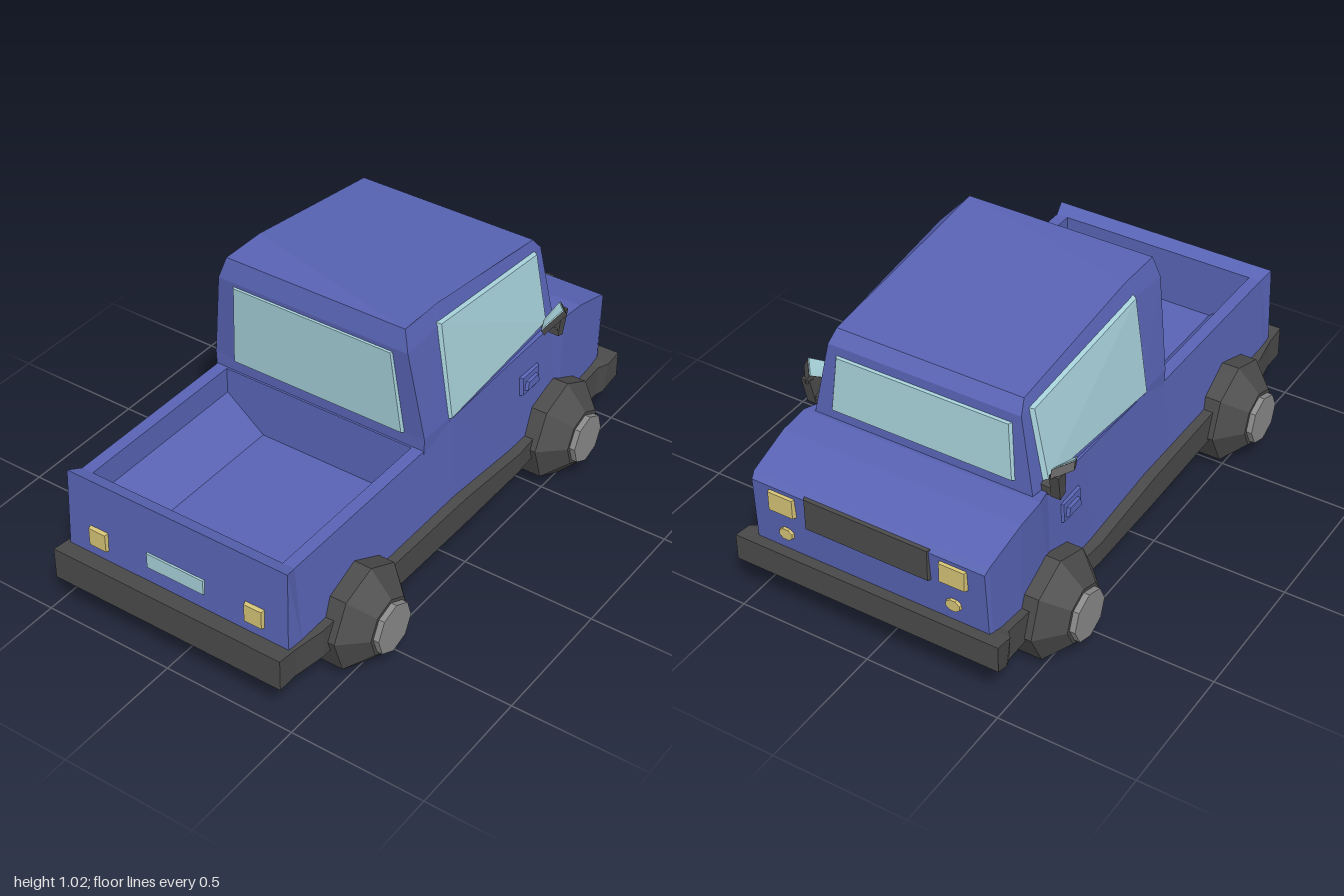
import * as THREE from 'three';
import { ConvexGeometry } from 'three/addons/geometries/ConvexGeometry.js';

const mat = (name, color) => {
  const m = new THREE.MeshStandardMaterial({ color });
  m.name = name;
  return m;
};

// Faceted copy of a geometry
function flat(geo) {
  const g = geo.index ? geo.toNonIndexed() : geo;
  g.computeVertexNormals();
  return g;
}

// Closed solid through rings of points; each ring runs counter-clockwise seen from the far end
function loft(rings) {
  const pos = [];
  const tri = (...pts) => pts.forEach((p) => pos.push(...p));
  const n = rings[0].length;
  for (let r = 0; r < rings.length - 1; r++) {
    const a = rings[r], b = rings[r + 1];
    for (let i = 0; i < n; i++) {
      const j = (i + 1) % n;
      tri(a[i], a[j], b[j]);
      tri(a[i], b[j], b[i]);
    }
  }
  const first = rings[0], last = rings[rings.length - 1];
  for (let i = 1; i < n - 1; i++) {
    tri(first[0], first[i + 1], first[i]);
    tri(last[0], last[i], last[i + 1]);
  }
  const g = new THREE.BufferGeometry();
  g.setAttribute('position', new THREE.Float32BufferAttribute(pos, 3));
  return flat(g);
}

// Four-cornered section: bottom x, top x, bottom y, top y, bottom half width, top half width
const section = ([xb, xt, yb, yt, wb, wt]) =>
  [[xb, yb, wb], [xb, yb, -wb], [xt, yt, -wt], [xt, yt, wt]];

// Plate whose outer face is the corner polygon, shrunk for a bevel; it reaches back by `depth`
function plate(corners, depth, shrink = 0.95) {
  const pts = corners.map((c) => new THREE.Vector3(...c));
  const mid = pts.reduce((s, p) => s.add(p), new THREE.Vector3()).divideScalar(pts.length);
  const back = pts.map((p) => p.clone().add(new THREE.Vector3(...depth)));
  const face = pts.map((p) => p.clone().lerp(mid, 1 - shrink));
  return flat(new ConvexGeometry([...back, ...face]));
}

// Rectangle facing along x, as corners
const rectX = (x, y0, y1, z0, z1) => [[x, y0, z0], [x, y0, z1], [x, y1, z1], [x, y1, z0]];

export function createModel() {
  const truck = new THREE.Group();
  truck.name = 'pickupTruck';
  const blue = mat('bluePaint', 0x5863b4);
  const dark = mat('darkTrim', 0x4a4a4a);
  const glass = mat('paleGlass', 0xa6d0d9);
  const yellow = mat('yellowLamp', 0xd4c275);
  const grey = mat('greyHub', 0x8a8a8a);
  const add = (name, geo, material, parent = truck) => {
    const m = new THREE.Mesh(geo, material);
    m.name = name;
    parent.add(m);
    return m;
  };

  // Chassis with bumpers at both ends
  add('chassis', loft([
    [-1, -1, 0.16, 0.28, 0.46, 0.46], [-0.92, -0.92, 0.16, 0.27, 0.46, 0.46],
    [-0.8, -0.8, 0.16, 0.27, 0.48, 0.48], [0, 0, 0.16, 0.27, 0.49, 0.49],
    [0.35, 0.35, 0.16, 0.24, 0.49, 0.49], [0.5, 0.5, 0.16, 0.24, 0.48, 0.48],
    [0.9, 0.9, 0.16, 0.28, 0.48, 0.48], [0.93, 0.93, 0.16, 0.29, 0.49, 0.505],
    [1, 1, 0.2, 0.3, 0.505, 0.505],
  ].map(section)), dark);

  // Door panels, fenders and hood
  add('frontBody', loft([
    [-0.17, -0.17, 0.26, 0.55, 0.45, 0.425], [0, 0, 0.26, 0.59, 0.45, 0.43],
    [0.35, 0.35, 0.23, 0.6, 0.45, 0.43], [0.6, 0.6, 0.23, 0.61, 0.45, 0.435],
    [0.67, 0.67, 0.24, 0.62, 0.452, 0.452], [0.78, 0.78, 0.25, 0.61, 0.452, 0.452],
    [0.94, 0.95, 0.28, 0.56, 0.45, 0.445], [0.955, 0.97, 0.29, 0.54, 0.445, 0.44],
  ].map(section)), blue);

  // Cargo bed: trough with sloped lower walls
  const half = [[0.45, 0.26], [0.425, 0.55], [0.38, 0.55], [0.38, 0.45], [0.23, 0.33]];
  const outline = [...half, ...half.map(([z, y]) => [-z, y]).reverse()];
  const bed = new THREE.ExtrudeGeometry(
    new THREE.Shape(outline.map(([z, y]) => new THREE.Vector2(-z, y))),
    { depth: 0.72, bevelEnabled: false });
  bed.rotateY(Math.PI / 2).translate(-0.88, 0, 0);
  add('cargoBed', flat(bed), blue);
  add('tailgate', loft([
    [-0.935, -0.925, 0.26, 0.57, 0.445, 0.44], [-0.87, -0.87, 0.26, 0.55, 0.45, 0.425],
  ].map(section)), blue);

  // Cab: rings given as rear, middle and front points on one side
  const cabRing = (side) => [...side, ...side.map(([x, y, z]) => [x, y, -z]).reverse()];
  add('cab', loft([
    [[-0.16, 0.3, 0.42], [0, 0.3, 0.42], [0.655, 0.3, 0.42]],
    [[-0.165, 0.6, 0.428], [0, 0.6, 0.43], [0.655, 0.62, 0.415]],
    [[-0.197, 0.94, 0.378], [0, 0.95, 0.375], [0.635, 0.895, 0.362]],
    [[-0.18, 1.017, 0.355], [0, 1.017, 0.355], [0.6, 0.94, 0.35]],
  ].map(cabRing)), blue);

  // Windscreen and rear window
  add('windscreen', plate([
    [0.662, 0.65, 0.36], [0.662, 0.65, -0.36], [0.648, 0.865, -0.34], [0.648, 0.865, 0.34],
  ], [-0.025, 0, 0]), glass);
  add('rearWindow', plate([
    [-0.174, 0.59, 0.36], [-0.174, 0.59, -0.36], [-0.203, 0.93, -0.33], [-0.203, 0.93, 0.33],
  ], [0.025, 0, 0]), glass);

  // Grille and number plate
  add('grille', plate(rectX(0.975, 0.425, 0.55, -0.245, 0.245), [-0.025, 0, 0]), dark);
  add('rearPlate', plate(rectX(-0.938, 0.33, 0.39, -0.12, 0.12), [0.02, 0, 0]), glass);

  for (const s of [1, -1]) {
    const side = s > 0 ? 'left' : 'right';
    const m = (pts) => pts.map(([x, y, z]) => [x, y, z * s]);

    add(side + 'Window', plate(m([
      [-0.035, 0.595, 0.441], [0.6, 0.638, 0.43], [0.6, 0.905, 0.376], [-0.035, 0.968, 0.386],
    ]), [0, 0, -0.03 * s]), glass);

    // Door handle with a raised centre
    add(side + 'HandlePlate', plate(m([
      [0.41, 0.43, 0.452], [0.53, 0.43, 0.452], [0.53, 0.51, 0.447], [0.41, 0.51, 0.447],
    ]), [0, 0, -0.02 * s], 0.85), blue);
    add(side + 'Handle', plate(m([
      [0.425, 0.45, 0.462], [0.515, 0.45, 0.462], [0.505, 0.485, 0.46], [0.435, 0.485, 0.46],
    ]), [0, 0, -0.02 * s], 0.85), blue);

    // Lamps
    add(side + 'Headlamp', plate(m(rectX(0.98, 0.445, 0.53, 0.27, 0.38)), [-0.03, 0, 0], 0.85), yellow);
    const round = Array.from({ length: 8 }, (_, i) => {
      const a = (i + 0.5) * Math.PI / 4;
      return [0.97, 0.362 + 0.026 * Math.sin(a), 0.32 + 0.032 * Math.cos(a)];
    });
    add(side + 'FogLamp', plate(m(round), [-0.025, 0, 0], 0.85), yellow);
    add(side + 'TailLamp', plate(m(rectX(-0.945, 0.31, 0.39, 0.275, 0.355)), [0.03, 0, 0], 0.85), yellow);

    // Mirror: bent arm, tilted head and glass on its inner upper face
    const face = m([[0.48, 0.68, 0.47], [0.56, 0.735, 0.51], [0.62, 0.72, 0.46], [0.55, 0.675, 0.44]]);
    add(side + 'MirrorHead', plate(face, [0.015, -0.025, 0.005 * s], 1), dark);
    add(side + 'MirrorGlass', plate(face.map(([x, y, z]) => [x - 0.002, y + 0.004, z]), [0, -0.004, 0], 0.9), glass);
    add(side + 'MirrorArm', plate(m([
      [0.575, 0.61, 0.485], [0.605, 0.6, 0.485], [0.625, 0.7, 0.49], [0.58, 0.7, 0.49],
    ]), [0, 0, -0.035 * s], 1), dark);
    add(side + 'MirrorMount', plate(m([
      [0.575, 0.615, 0.48], [0.605, 0.6, 0.48], [0.605, 0.63, 0.48], [0.575, 0.64, 0.48],
    ]), [0, 0.005, -0.07 * s], 1), dark);

    // Eight-sided wheels with bevelled shoulders
    for (const [end, x] of [['Rear', -0.587], ['Front', 0.62]]) {
      const wheel = new THREE.Group();
      wheel.name = side + end + 'Wheel';
      wheel.position.set(x, 0.19, 0);
      if (s < 0) wheel.rotation.y = Math.PI;
      const turn = (pts) => flat(new THREE.LatheGeometry(
        pts.map(([r, z]) => new THREE.Vector2(r, z)), 8).rotateX(Math.PI / 2).rotateZ(-s * 0.07));
      add('tyre', turn([[0, 0.29], [0.1, 0.29], [0.19, 0.365], [0.19, 0.505], [0.105, 0.587], [0, 0.587]]), dark, wheel);
      add('hub', turn([[0.092, 0.57], [0.092, 0.608], [0, 0.608]]), grey, wheel);
      truck.add(wheel);
    }
  }
  return truck;
}
